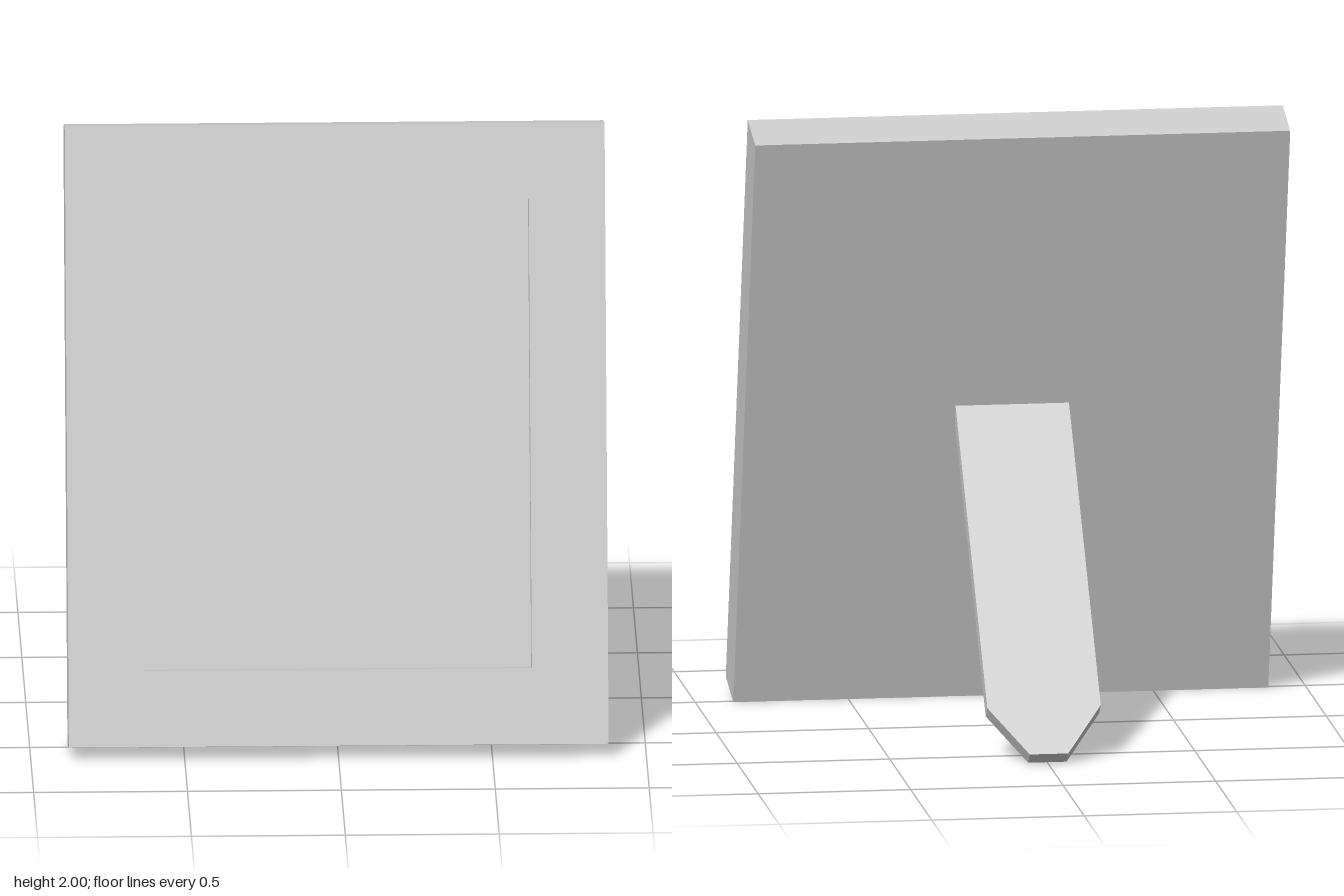
import * as THREE from 'three';

const material = new THREE.MeshStandardMaterial({ color: 0xcccccc, flatShading: true });

// Closed outline from a few points
const outline = (points) => new THREE.Shape(points.map(([x, y]) => new THREE.Vector2(x, y)));

// Rectangle symmetric in x, between two heights
const rectangle = (halfWidth, bottom, top) =>
  outline([[-halfWidth, bottom], [halfWidth, bottom], [halfWidth, top], [-halfWidth, top]]);

function slab(name, shape, depth, z = 0) {
  const geometry = new THREE.ExtrudeGeometry(shape, { depth, bevelEnabled: false });
  geometry.translate(0, 0, z);
  const mesh = new THREE.Mesh(geometry, material);
  mesh.name = name;
  return mesh;
}

export function createModel() {
  const model = new THREE.Group();
  model.name = 'pictureFrame';

  // Frame leaning back, pivoting on its lower front edge
  const height = 2.02, halfWidth = 0.877, border = 0.248;
  const thickness = 0.186, recess = 0.09;
  const frame = new THREE.Group();
  frame.name = 'frame';
  frame.position.set(0, 0.048, 0.664);
  frame.rotation.x = -THREE.MathUtils.degToRad(15);

  // Border around the picture opening
  const borderShape = rectangle(halfWidth, 0, height);
  borderShape.holes.push(rectangle(halfWidth - border, border, height - border));
  frame.add(slab('border', borderShape, recess, -recess));

  // Solid panel behind the opening
  frame.add(slab('backPanel', rectangle(halfWidth, 0, height), thickness - recess, -thickness));
  model.add(frame);

  // Rear leg with a chamfered foot, its top end let into the back panel
  const legLength = 1.33;
  const legShape = outline([
    [-0.063, 0], [0.063, 0], [0.186, 0.178], [0.186, legLength],
    [-0.186, legLength], [-0.186, 0.178],
  ]);
  const leg = slab('rearLeg', legShape, 0.053);
  leg.position.set(0, 0.036, -0.664);
  leg.rotation.x = THREE.MathUtils.degToRad(41.7);
  model.add(leg);

  return model;
}
